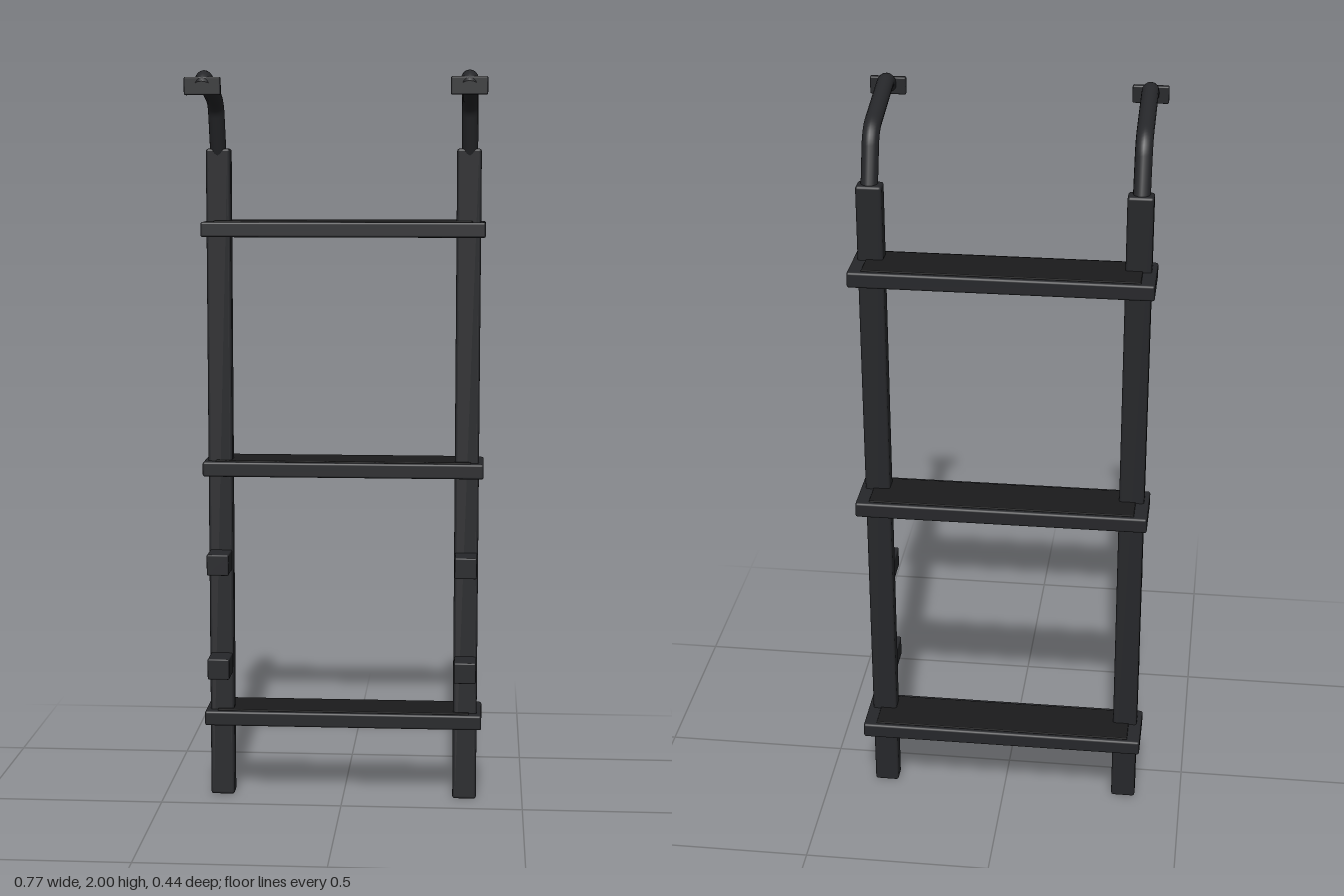
import * as THREE from 'three';
import { RoundedBoxGeometry } from 'three/addons/geometries/RoundedBoxGeometry.js';

const frameMat = new THREE.MeshStandardMaterial({ color: 0x26272a });
const treadMat = new THREE.MeshStandardMaterial({ color: 0x1b1b1c });
const v = (y, z) => new THREE.Vector3(0, y, z);

// Rounded box given by its lower and upper corners
function block(name, [x0, y0, z0], [x1, y1, z1], radius, material = frameMat) {
  const geo = new RoundedBoxGeometry(x1 - x0, y1 - y0, z1 - z0, 2, radius);
  const mesh = new THREE.Mesh(geo, material);
  mesh.position.set((x0 + x1) / 2, (y0 + y1) / 2, (z0 + z1) / 2);
  mesh.name = name;
  return mesh;
}

// Bent tube with its end plate, centred on x = 0
function createHook() {
  const hook = new THREE.Group();
  const path = new THREE.CurvePath();
  path.add(new THREE.LineCurve3(v(1.77, -0.112), v(1.888, -0.073)));
  path.add(new THREE.QuadraticBezierCurve3(v(1.888, -0.073), v(1.925, -0.06), v(1.934, -0.02)));
  path.add(new THREE.LineCurve3(v(1.934, -0.02), v(1.974, 0.15)));
  path.add(new THREE.QuadraticBezierCurve3(v(1.974, 0.15), v(1.983, 0.185), v(1.956, 0.204)));
  const tube = new THREE.Mesh(new THREE.TubeGeometry(path, 60, 0.022, 16), frameMat);
  tube.name = 'hookTube';
  hook.add(tube, block('hookPlate', [-0.047, 1.934, 0.198], [0.047, 1.98, 0.214], 0.004));
  return hook;
}

export function createModel() {
  const model = new THREE.Group();
  model.name = 'ladder';

  // Side rails with hooks and wall spacers
  for (const [side, s] of [['right', -1], ['left', 1]]) {
    const rail = new THREE.Group();
    rail.name = side + 'Rail';
    rail.position.x = s * 0.339;
    rail.add(block('post', [-0.033, 0, -0.133], [0.033, 1.8, -0.085], 0.007));
    for (const y of [0.35, 0.642]) {
      rail.add(block('spacer', [-0.03, y, -0.092], [0.03, y + 0.058, -0.006], 0.004));
    }
    const hook = createHook();
    hook.name = side + 'Hook';
    hook.position.x = s * 0.001;
    rail.add(hook);
    model.add(rail);
  }

  // Steps, each with a thin tread pad
  [0.205, 0.908, 1.563].forEach((y, i) => {
    const step = new THREE.Group();
    step.name = 'step' + (i + 1);
    step.add(
      block('stepBoard', [-0.385, y, -0.219], [0.385, y + 0.041, -0.058], 0.006),
      block('treadPad', [-0.35, y + 0.035, -0.206], [0.35, y + 0.044, -0.071], 0.002, treadMat),
    );
    model.add(step);
  });

  return model;
}
